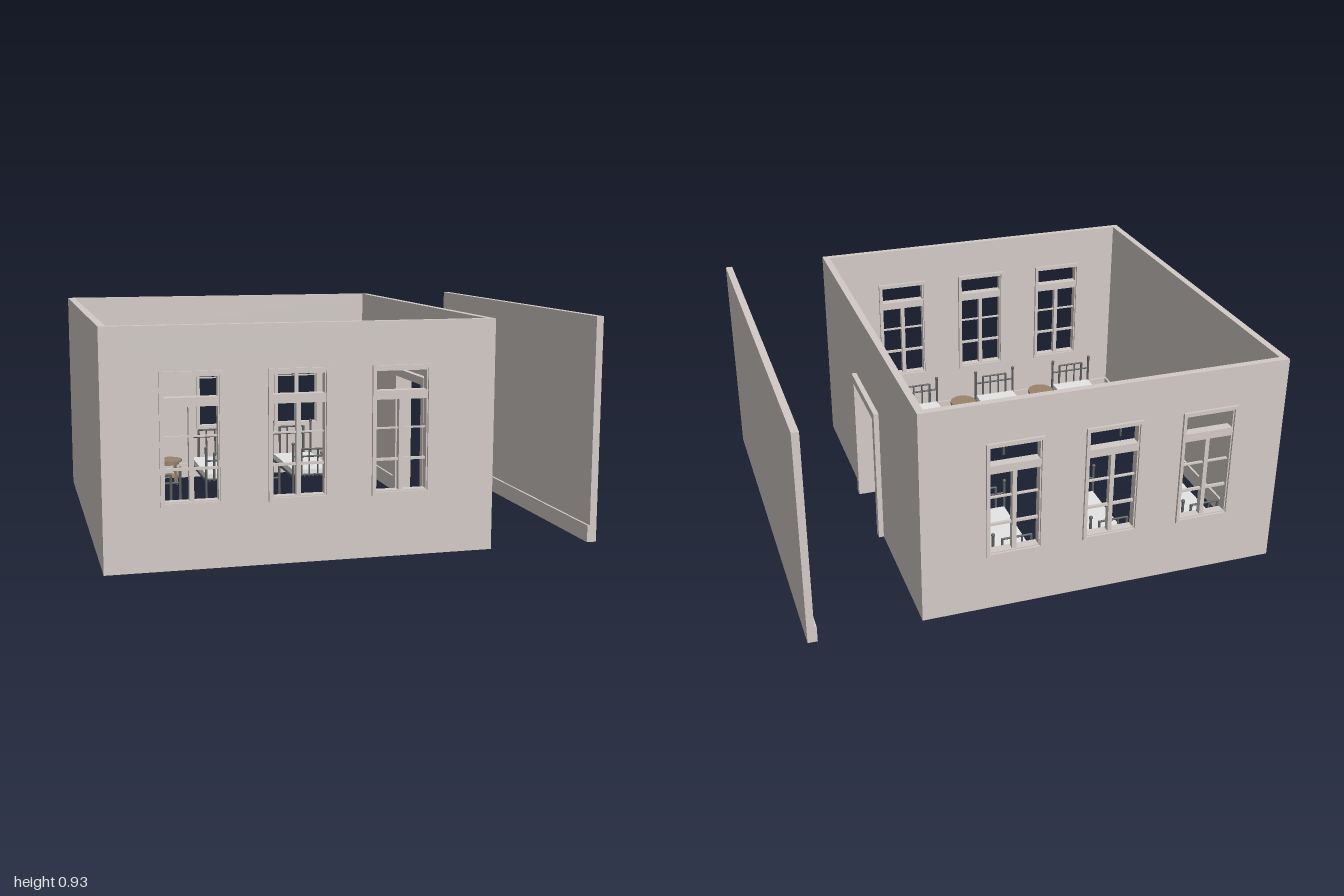
import * as THREE from 'three';

const mat = (name, color) => {
  const m = new THREE.MeshStandardMaterial({ color });
  m.name = name;
  return m;
};

export function createModel() {
  const plaster = mat('warm grey plaster', 0xd2cac6);
  const metal = mat('dark iron', 0x5e6062);
  const linen = mat('pale linen', 0xe5e5e5);
  const wood = mat('brown wood', 0x99846c);
  const root = new THREE.Group();
  root.name = 'wardRoom';

  const group = (name, parent = root) => {
    const g = new THREE.Group();
    g.name = name;
    parent.add(g);
    return g;
  };
  const add = (parent, name, geo, m) => {
    const mesh = new THREE.Mesh(geo, m);
    mesh.name = name;
    parent.add(mesh);
    return mesh;
  };
  // box given by its lower and upper limits
  const box = (p, name, x0, x1, y0, y1, z0, z1, m = plaster) => {
    const mesh = add(p, name, new THREE.BoxGeometry(x1 - x0, y1 - y0, z1 - z0), m);
    mesh.position.set((x0 + x1) / 2, (y0 + y1) / 2, (z0 + z1) / 2);
    return mesh;
  };
  // thin round rod between two points
  const rod = (p, name, a, b, r, m = metal) => {
    const va = new THREE.Vector3(...a), vb = new THREE.Vector3(...b);
    const mesh = add(p, name, new THREE.CylinderGeometry(r, r, va.distanceTo(vb), 8), m);
    mesh.position.copy(va).add(vb).multiplyScalar(0.5);
    mesh.quaternion.setFromUnitVectors(new THREE.Vector3(0, 1, 0), vb.sub(va).normalize());
    return mesh;
  };

  const H = 0.925, Z = 0.865, T = 0.03, X0 = -1, X1 = 0.538;
  const BASE = 0.07, BT = 0.01;
  const windowX = [-0.666, -0.254, 0.155];
  const W = 0.119, Y0 = 0.247, Y1 = 0.755; // window half width, sill, head

  // long walls with window holes
  const wallShape = new THREE.Shape([[X0, 0], [X1, 0], [X1, H], [X0, H]].map(p => new THREE.Vector2(...p)));
  for (const x of windowX) {
    const w = W - 0.01, a = Y0 + 0.01, b = Y1 - 0.01;
    wallShape.holes.push(new THREE.Path([[x - w, a], [x - w, b], [x + w, b], [x + w, a]].map(p => new THREE.Vector2(...p))));
  }
  const wallGeo = new THREE.ExtrudeGeometry(wallShape, { depth: T, bevelEnabled: false });
  add(root, 'frontWall', wallGeo, plaster).position.z = Z - T;
  add(root, 'backWall', wallGeo, plaster).position.z = -Z;

  // side walls, the one on the left with a doorway
  const D0 = -0.225, D1 = 0.195, DH = 0.61, DT = 0.035;
  const zi = Z - T;
  box(root, 'rightWall', X0, X0 + T, 0, H, -zi, zi);
  box(root, 'leftWallBack', X1 - T, X1, 0, H, -zi, D0 + 0.01);
  box(root, 'leftWallFront', X1 - T, X1, 0, H, D1 - 0.01, zi);
  box(root, 'leftWallLintel', X1 - T, X1, DH - 0.01, H, D0 + 0.01, D1 - 0.01);

  // corridor wall standing apart
  box(root, 'corridorWall', 0.97, 1, 0, H, -Z, Z);
  box(root, 'corridorBaseboard', 0.96, 0.97, 0, BASE, -Z, Z);

  // baseboards inside the room
  const bb = group('baseboards');
  box(bb, 'rightBaseboard', X0 + T, X0 + T + BT, 0, BASE, -zi, zi);
  box(bb, 'leftBaseboardBack', X1 - T - BT, X1 - T, 0, BASE, -zi, D0);
  box(bb, 'leftBaseboardFront', X1 - T - BT, X1 - T, 0, BASE, D1, zi);
  box(bb, 'frontBaseboard', X0 + T, X1 - T, 0, BASE, zi - BT, zi);
  box(bb, 'backBaseboard', X0 + T, X1 - T, 0, BASE, -zi, -zi + BT);

  // door frame
  const df = group('doorFrame');
  box(df, 'doorJambBack', 0.482, 0.56, 0, DH, D0, D0 + DT);
  box(df, 'doorJambFront', 0.482, 0.56, 0, DH, D1 - DT, D1);
  box(df, 'doorHead', 0.482, 0.56, DH - DT, DH, D0 + DT, D1 - DT);

  // windows: casing, inner sash, transom, mullion and glazing bars
  const ring = (p, name, w, y0, y1, t, d) => {
    box(p, name + 'Left', w - t, w, y0, y1, -d, d);
    box(p, name + 'Right', -w, -w + t, y0, y1, -d, d);
    box(p, name + 'Top', -w + t, w - t, y1 - t, y1, -d, d);
    box(p, name + 'Bottom', -w + t, w - t, y0, y0 + t, -d, d);
  };
  for (const s of [1, -1]) for (const x of windowX) {
    const g = group('window');
    g.position.set(x, 0, s * 0.849);
    ring(g, 'casing', W, Y0, Y1, 0.013, 0.027);
    ring(g, 'sash', W - 0.008, Y0 + 0.008, Y1 - 0.012, 0.01, 0.018);
    box(g, 'transom', -W + 0.013, W - 0.013, 0.622, 0.657, -0.02, 0.02);
    box(g, 'mullion', -0.009, 0.009, Y0 + 0.013, 0.622, -0.013, 0.013);
    for (const [y, t] of [[0.508, 0.003], [0.385, 0.005]])
      box(g, 'glazingBar', -W + 0.013, W - 0.013, y - t, y + t, -0.006, 0.006);
  }

  // iron bed end: posts with finials, rails, raised centre and spindles
  const bedEnd = (p, name, z, top) => {
    const g = group(name, p);
    const hw = 0.101, rail = top - 0.07, crown = top - 0.035;
    for (const sx of [-1, 1]) {
      rod(g, 'post', [sx * hw, 0, z], [sx * hw, top - 0.01, z], 0.006);
      const f = add(g, 'finial', new THREE.SphereGeometry(0.0085, 10, 8), metal);
      f.position.set(sx * hw, top - 0.0085, z);
      rod(g, 'crownUpright', [sx * 0.062, 0.09, z], [sx * 0.062, crown, z], 0.006);
    }
    rod(g, 'lowerRail', [-hw, 0.09, z], [hw, 0.09, z], 0.0045);
    rod(g, 'upperRail', [-hw, rail, z], [hw, rail, z], 0.0045);
    rod(g, 'crownRail', [-0.064, crown, z], [0.064, crown, z], 0.0045);
    for (const x of [-0.022, 0.022]) rod(g, 'spindle', [x, 0.09, z], [x, crown, z], 0.004);
  };
  const bed = (x, z) => {
    const g = group('bed');
    g.position.set(x, 0, z);
    bedEnd(g, 'headboard', -0.226, 0.287);
    bedEnd(g, 'footboard', 0.226, 0.25);
    box(g, 'mattress', -0.099, 0.099, 0.086, 0.114, -0.22, 0.22, linen);
    for (const s of [-1, 1]) box(g, 'sideRail', s * 0.1 - 0.003, s * 0.1 + 0.003, 0.076, 0.088, -0.226, 0.226, metal);
    // spring lattice under the mattress
    for (let i = 0; i < 9; i++) {
      const lx = -0.084 + i * 0.021;
      box(g, 'longSlat', lx - 0.004, lx + 0.004, 0.08, 0.083, -0.22, 0.22, metal);
    }
    for (let i = 0; i < 19; i++) {
      const lz = -0.207 + i * 0.023;
      box(g, 'crossSlat', -0.097, 0.097, 0.082, 0.085, lz - 0.0045, lz + 0.0045, metal);
    }
  };

  // round bedside table with four legs and a lower shelf
  const table = (x, z) => {
    const g = group('bedsideTable');
    g.position.set(x, 0, z);
    add(g, 'tableTop', new THREE.CylinderGeometry(0.065, 0.065, 0.01, 32), wood).position.y = 0.119;
    add(g, 'tableApron', new THREE.CylinderGeometry(0.05, 0.05, 0.014, 32), wood).position.y = 0.107;
    add(g, 'lowerShelf', new THREE.CylinderGeometry(0.044, 0.044, 0.007, 32), wood).position.y = 0.04;
    for (let i = 0; i < 4; i++) {
      const a = Math.PI / 4 + i * Math.PI / 2, c = Math.cos(a), s = Math.sin(a);
      rod(g, 'tableLeg', [c * 0.05, 0, s * 0.05], [c * 0.044, 0.112, s * 0.044], 0.005, wood);
    }
  };

  [-0.73, -0.312, 0.111].forEach(x => bed(x, -0.544));
  [-0.73, -0.304, 0.108].forEach(x => bed(x, 0.535));
  for (const s of [1, -1]) [-0.538, -0.114, 0.311].forEach(x => table(x, s * 0.695));

  return root;
}
